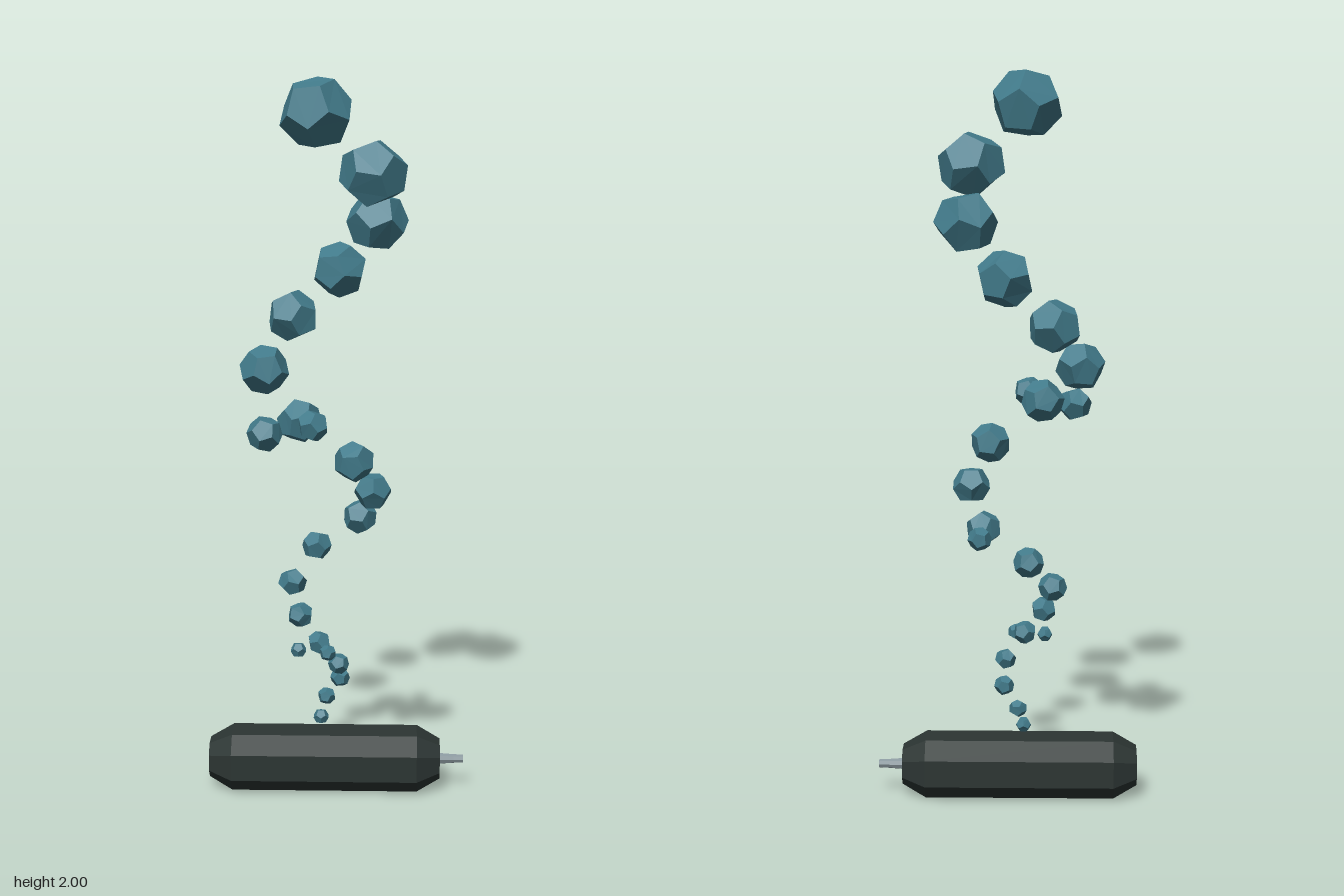
import * as THREE from 'three';

const flat = (name, color) => {
  const m = new THREE.MeshStandardMaterial({ color, flatShading: true });
  m.name = name;
  return m;
};

// Slightly uneven dodecahedron, so each pentagon breaks into soft facets
function bubbleGeometry(radius, seed) {
  const g = new THREE.DodecahedronGeometry(radius, 0);
  const p = g.attributes.position;
  for (let i = 0; i < p.count; i++) {
    const wave = 7 * p.getX(i) + 5 * p.getY(i) + 3 * p.getZ(i);
    const k = 1 + 0.025 * Math.sin(wave / radius + seed);
    p.setXYZ(i, p.getX(i) * k, p.getY(i) * k, p.getZ(i) * k);
  }
  g.computeVertexNormals();
  return g;
}

// Eight-sided body along x with tapered ends
function bodyGeometry() {
  const profile = [[0, -0.325], [0.6, -0.325], [1, -0.26], [1, 0.26], [0.6, 0.325], [0, 0.325]]
    .map(([r, y]) => new THREE.Vector2(r, y));
  const g = new THREE.LatheGeometry(profile, 8, Math.PI / 8);
  g.rotateZ(-Math.PI / 2);
  // Squash the section: wide in z, low in y
  const p = g.attributes.position;
  for (let i = 0; i < p.count; i++) {
    const y = p.getY(i), z = p.getZ(i);
    const r = Math.hypot(y, z);
    const tall = Math.abs(y) > Math.abs(z);
    p.setY(i, Math.sign(y) * r * (tall ? 0.0815 : 0.037));
    p.setZ(i, Math.sign(z) * r * (tall ? 0.05 : 0.1));
  }
  g.computeVertexNormals();
  return g;
}

export function createModel() {
  const model = new THREE.Group();
  model.name = 'bubbleTrail';
  const teal = flat('bubbleTeal', 0x427b8b);
  const dark = flat('bodyDark', 0x2c3533);
  const metal = flat('nozzleGrey', 0x8a989e);

  const add = (name, geometry, material, x, y, z) => {
    const mesh = new THREE.Mesh(geometry, material);
    mesh.name = name;
    mesh.position.set(x, y, z);
    model.add(mesh);
    return mesh;
  };

  // Canister and its nozzle
  add('body', bodyGeometry(), dark, -0.034, 0.0815, -0.035);
  const nozzle = [[0.013, 0.016, 0.04, 0.31], [0.012, 0.013, 0.03, 0.343]];
  for (const [rTop, rBottom, length, x] of nozzle) {
    const g = new THREE.CylinderGeometry(rTop, rBottom, length, 8);
    g.rotateZ(-Math.PI / 2);
    add('nozzle', g, metal, x, 0.0815, -0.035);
  }

  // Rising spiral of growing bubbles: x, y, z, radius
  const spiral = [
    [-0.045, 0.20, -0.047, 0.022],
    [-0.03, 0.253, -0.07, 0.025],
    [0.008, 0.314, -0.053, 0.028],
    [0.006, 0.373, 0.008, 0.030],
    [-0.047, 0.443, 0.035, 0.033],
    [-0.10, 0.515, 0.012, 0.036],
    [-0.124, 0.592, -0.05, 0.040],
    [-0.06, 0.678, -0.132, 0.043],
    [0.063, 0.768, -0.11, 0.049],
    [0.10, 0.868, 0.0, 0.053],
    [0.05, 0.97, 0.095, 0.057],
    [-0.095, 1.085, 0.115, 0.061],
    [-0.198, 1.2, -0.024, 0.068],
    [-0.127, 1.325, -0.177, 0.074],
    [0.003, 1.453, -0.197, 0.080],
    [0.107, 1.597, -0.123, 0.087],
    [0.10, 1.742, 0.045, 0.094],
    [-0.05, 1.905, 0.103, 0.100],
  ];
  // Small stray bubbles beside the spiral
  const strays = [
    [-0.103, 0.43, 0.065, 0.022],
    [-0.021, 0.43, 0.092, 0.023],
    [0.07, 0.758, -0.205, 0.033],
    [-0.185, 1.065, 0.19, 0.049],
    [-0.055, 1.096, 0.23, 0.043],
  ];
  const blow = (name, list) => list.forEach(([x, y, z, r], i) => {
    const bubble = add(name, bubbleGeometry(r, i * 1.7), teal, x, y, z);
    bubble.rotation.set(i * 1.3 + 0.4, i * 2.1, i * 0.7);
  });
  blow('bubble', spiral);
  blow('strayBubble', strays);

  return model;
}
